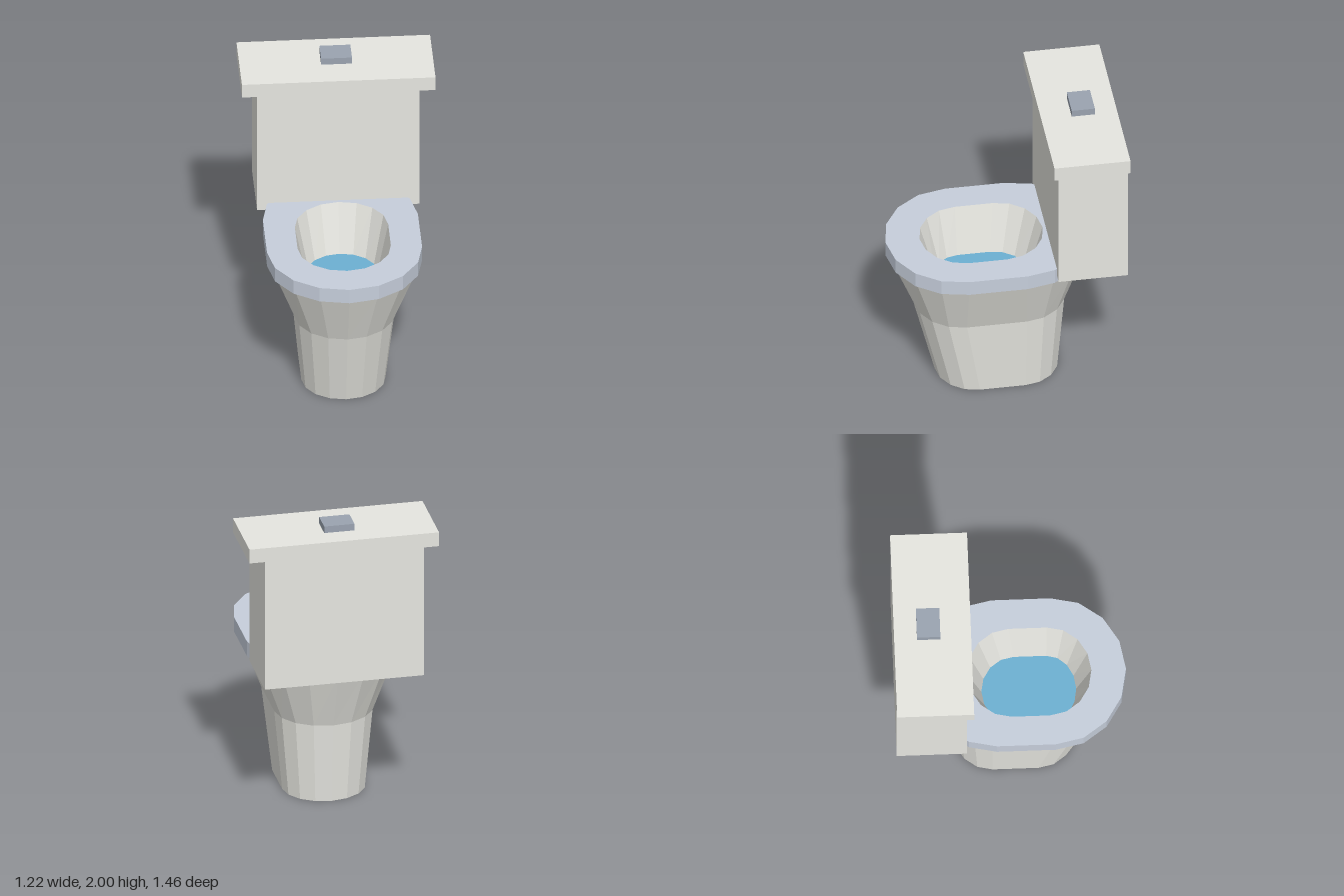
import * as THREE from 'three';

const HALF = 8; // segments per rounded end

// Level ring: two half ellipses (front and back) joined by straight sides.
// rx = half width, front/back = end z, cf/cb = z centres of the rounded ends.
function ring(y, rx, back, cb, cf, front) {
  const pts = [];
  for (let i = 0; i <= HALF; i++) {
    const a = (i / HALF) * Math.PI;
    pts.push([rx * Math.cos(a), y, cf + (front - cf) * Math.sin(a)]);
  }
  for (let i = 0; i <= HALF; i++) {
    const a = (i / HALF) * Math.PI;
    pts.push([-rx * Math.cos(a), y, cb + (back - cb) * Math.sin(a)]);
  }
  return pts;
}

// Collapsed ring that closes a loft with a flat cap
const centre = (y, z) => ring(y, 0, z, z, z, z);

// Skin a series of rings; outward faces when the rings run up the outside
function loft(rings) {
  const pos = [];
  for (let r = 0; r < rings.length - 1; r++) {
    const lo = rings[r], up = rings[r + 1], n = lo.length;
    for (let i = 0; i < n; i++) {
      const j = (i + 1) % n;
      pos.push(...lo[i], ...up[i], ...lo[j], ...up[i], ...up[j], ...lo[j]);
    }
  }
  const geo = new THREE.BufferGeometry();
  geo.setAttribute('position', new THREE.Float32BufferAttribute(pos, 3));
  geo.computeVertexNormals();
  return geo;
}

export function createModel() {
  const group = new THREE.Group();
  const material = (color) => new THREE.MeshStandardMaterial({ color, flatShading: true });
  const ceramic = material(0xe6e6e0);
  const seatMat = material(0xc6cedb);
  const buttonMat = material(0x9aa3b0);
  const waterMat = material(0x6cb0d2);

  function add(name, geo, mat) {
    const mesh = new THREE.Mesh(geo, mat);
    mesh.name = name;
    group.add(mesh);
  }
  // Box given by half width and its y and z ranges
  function addBox(name, hx, y0, y1, z0, z1, mat) {
    const geo = new THREE.BoxGeometry(hx * 2, y1 - y0, z1 - z0);
    geo.translate(0, (y0 + y1) / 2, (z0 + z1) / 2);
    add(name, geo, mat);
  }

  // Pedestal flaring into the bowl
  const rim = ring(0.93, 0.465, -0.545, -0.1, 0.27, 0.71);
  add('pedestalBowl', loft([
    centre(0, 0.02),
    ring(0, 0.265, -0.365, -0.12, 0.17, 0.415),
    ring(0.54, 0.315, -0.41, -0.12, 0.26, 0.55),
    rim,
  ]), ceramic);

  // Seat ring, from its underside overhang to the hole
  const hole = ring(1.03, 0.293, -0.27, 0, 0.24, 0.51);
  add('seat', loft([
    rim,
    ring(0.93, 0.487, -0.557, -0.1, 0.27, 0.727),
    ring(1.03, 0.487, -0.557, -0.1, 0.27, 0.727),
    hole,
  ]), seatMat);

  // Inside of the bowl and the water
  const waterLine = ring(0.7, 0.225, -0.18, 0.03, 0.235, 0.415);
  add('bowlInside', loft([hole, waterLine]), ceramic);
  add('water', loft([waterLine, centre(0.7, 0.12)]), waterMat);

  // Tank, lid and flush button
  addBox('tank', 0.51, 0.98, 1.86, -0.73, -0.29, ceramic);
  addBox('tankLid', 0.608, 1.86, 1.955, -0.73, -0.247, ceramic);
  addBox('flushButton', 0.097, 1.955, 2, -0.587, -0.44, buttonMat);

  return group;
}
